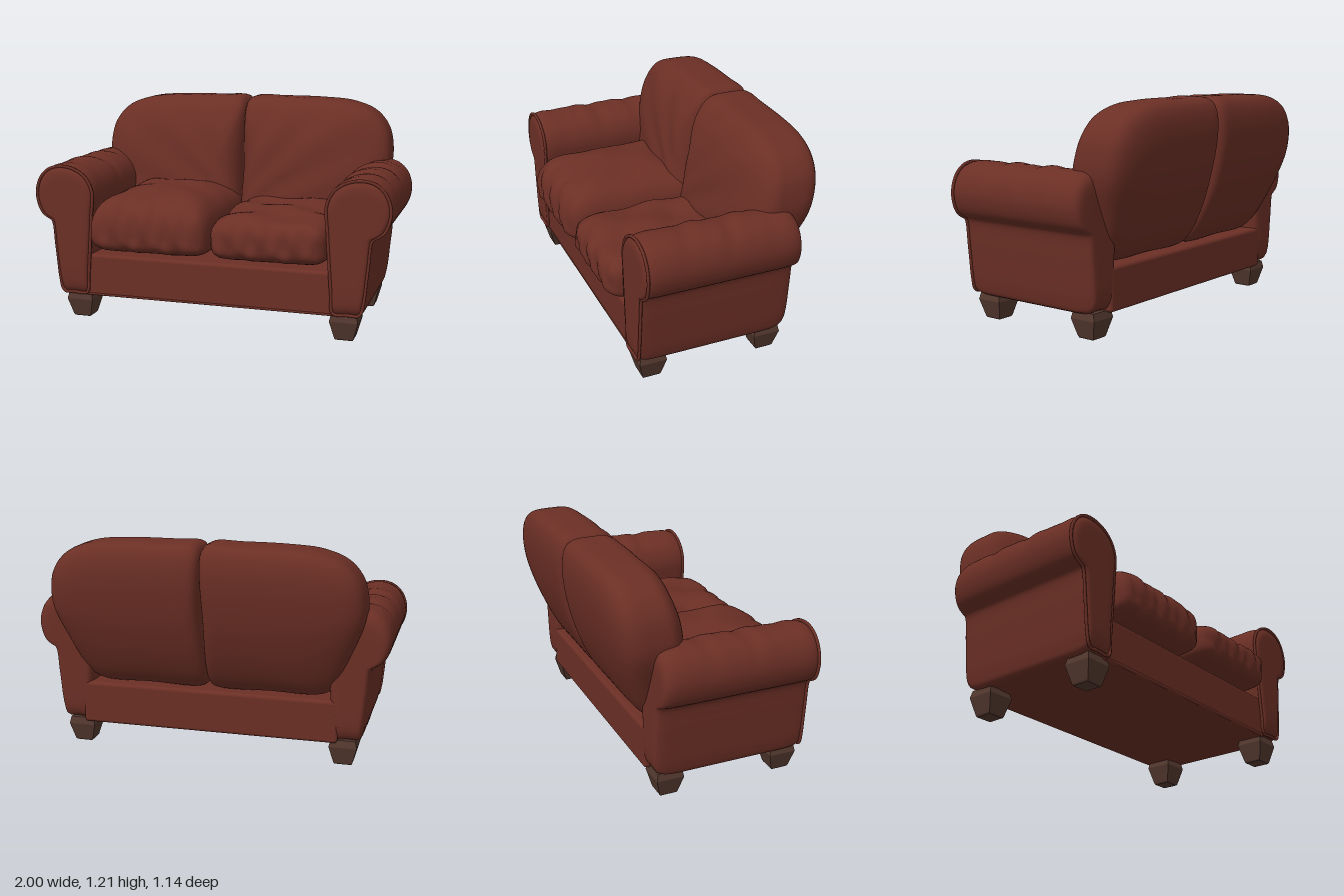
import * as THREE from 'three';
import { RoundedBoxGeometry } from 'three/addons/geometries/RoundedBoxGeometry.js';

const leather = new THREE.MeshStandardMaterial({ color: 0x6b2f25 });
leather.name = 'brown leather';
const wood = new THREE.MeshStandardMaterial({ color: 0x53382f });
wood.name = 'dark wood';

// Point on a superellipse of exponent n, in the direction of angle a
function superPoint(a, n) {
  const c = Math.cos(a), s = Math.sin(a);
  const k = Math.pow(Math.abs(c) ** n + Math.abs(s) ** n, -1 / n);
  return [c * k, s * k];
}

// Closed smooth outline through a few points
function smoothOutline(points, count) {
  const curve = new THREE.CatmullRomCurve3(points.map(([a, b]) => new THREE.Vector3(a, b, 0)), true);
  return curve.getSpacedPoints(count).slice(0, count).map((p) => [p.x, p.y]);
}

// Padded form: the outline shrinks to its centre on both faces while h runs
// from -1 to 1; place(a, b, h) turns each point into [x, y, z].
function padded(outline, centre, nBack, nFront, rows, place) {
  const pos = [], idx = [], n = outline.length;
  for (let r = 0; r <= rows; r++) {
    const a = (r / rows - 0.5) * Math.PI;
    let [s, h] = superPoint(a, a < 0 ? nBack : nFront);
    s = Math.max(s, 0.0005);
    for (const [u, v] of outline) {
      pos.push(...place(centre[0] + (u - centre[0]) * s, centre[1] + (v - centre[1]) * s, h));
    }
  }
  for (let r = 0; r < rows; r++) {
    for (let i = 0; i < n; i++) {
      const a = r * n + i, b = r * n + (i + 1) % n;
      idx.push(a, b, b + n, a, b + n, a + n);
    }
  }
  // Turn the faces outward if the enclosed volume is negative
  const P = (i) => new THREE.Vector3().fromArray(pos, i * 3);
  let volume = 0;
  for (let i = 0; i < idx.length; i += 3) volume += P(idx[i]).dot(P(idx[i + 1]).cross(P(idx[i + 2])));
  if (volume < 0) idx.reverse();
  const g = new THREE.BufferGeometry();
  g.setAttribute('position', new THREE.Float32BufferAttribute(pos, 3));
  g.setIndex(idx);
  g.computeVertexNormals();
  return g;
}

const armProfile = smoothOutline([
  [0.7, 0.142], [0.78, 0.14], [0.845, 0.142], [0.862, 0.19], [0.885, 0.4], [0.905, 0.56], [0.925, 0.572],
  [0.972, 0.61], [1.0, 0.71], [0.977, 0.8], [0.925, 0.855], [0.85, 0.876], [0.76, 0.86],
  [0.69, 0.81], [0.655, 0.73], [0.662, 0.6], [0.688, 0.25],
], 110);

const backProfile = smoothOutline([
  [0.004, 0.42], [0.03, 0.385], [0.35, 0.38], [0.63, 0.385], [0.7, 0.43], [0.8, 0.65], [0.862, 0.82],
  [0.868, 0.92], [0.842, 1.04], [0.765, 1.135], [0.63, 1.19], [0.45, 1.207], [0.2, 1.21],
  [0.03, 1.207], [0.004, 1.175], [0.003, 0.8],
], 120);

function rolledArm(side) {
  const arm = new THREE.Group();
  arm.name = side > 0 ? 'leftArm' : 'rightArm';
  const body = padded(armProfile, [0.8, 0.58], 11, 14, 72, (x, y, h) => {
    const z = 0.06 + 0.44 * h;
    // Gathered folds over the top of the roll, fading at the ends
    const fold = THREE.MathUtils.smoothstep(y, 0.62, 0.85) * Math.max(0, 1 - h * h);
    const wave = Math.sin(z * 27 + x * 5 * side) + 0.6 * Math.sin(z * 51 - x * 9);
    return [side * x, y + 0.005 * fold * wave, z];
  });
  const bodyMesh = new THREE.Mesh(body, leather);
  bodyMesh.name = 'armBody';
  // Piping around the front panel
  const path = armProfile.filter((_, i) => i % 2 === 0).map(([x, y]) =>
    new THREE.Vector3(side * (0.8 + (x - 0.8) * 0.97), 0.58 + (y - 0.58) * 0.97, 0.484));
  const piping = new THREE.Mesh(
    new THREE.TubeGeometry(new THREE.CatmullRomCurve3(path, true), 110, 0.009, 6, true), leather);
  piping.name = 'armPiping';
  arm.add(bodyMesh, piping);
  return arm;
}

function backCushion(side) {
  const g = padded(backProfile, [0.16, 0.76], 6, 2.5, 64, (x, y, h) => {
    const seam = -0.3 - 0.16 * (y - 0.88);
    const drop = Math.max(0, 1.1 - y);
    const rear = -0.575 + 0.42 * drop * drop;
    // Diagonal creases fanning out of the lower inner corner
    const angle = Math.atan2(y - 0.5, x + 0.1);
    const crease = 0.004 * Math.sin(angle * 19 + side) * THREE.MathUtils.smoothstep(h, 0.1, 0.8)
      * THREE.MathUtils.smoothstep(Math.hypot(x, y - 0.5), 0.1, 0.4);
    return [side * x, y, h < 0 ? seam - h * (rear - seam) : seam + 0.18 * h + crease];
  });
  const mesh = new THREE.Mesh(g, leather);
  mesh.name = side > 0 ? 'leftBackCushion' : 'rightBackCushion';
  return mesh;
}

function seatCushion(side) {
  const left = side > 0;
  const x0 = left ? 0.348 : -0.327, halfW = left ? 0.322 : 0.345;
  const crown = left ? 0.15 : 0.235;
  const outline = [];
  for (let i = 0; i < 112; i++) {
    const [u, v] = superPoint((i / 112) * Math.PI * 2, 9);
    outline.push([x0 + u * halfW, 0.13 + v * 0.42]);
  }
  const g = padded(outline, [x0, 0.13], 4, left ? 4 : 3, 56, (x, z, h) => {
    // Puckered front and a softly dented top
    const front = THREE.MathUtils.smoothstep(z, 0.35, 0.53);
    const top = THREE.MathUtils.smoothstep(h, 0.3, 0.9);
    const pucker = 0.006 * front * (Math.sin(x * 38 + h * 4) + 0.6 * Math.sin(x * 67 - h * 3));
    const dent = top * (left ? 0.008 : 0.003) * (Math.sin(x * 17 + z * 9) + Math.sin(z * 21 - x * 8));
    return [x, 0.5 + h * (h > 0 ? crown : 0.11) + dent, z + pucker + 0.012 * front * (1 - h * h)];
  });
  const mesh = new THREE.Mesh(g, leather);
  mesh.name = left ? 'leftSeatCushion' : 'rightSeatCushion';
  return mesh;
}

// Square tapered foot with a drawn-in top
function foot(x, z, name) {
  const points = [[0, 0], [0.046, 0], [0.051, 0.008], [0.077, 0.105], [0.068, 0.145], [0, 0.145]]
    .map(([r, y]) => new THREE.Vector2(r * Math.SQRT2, y));
  const g = new THREE.LatheGeometry(points, 4, Math.PI / 4).toNonIndexed();
  g.computeVertexNormals();
  const mesh = new THREE.Mesh(g, wood);
  mesh.position.set(x, 0, z);
  mesh.name = name;
  return mesh;
}

export function createModel() {
  const sofa = new THREE.Group();
  sofa.name = 'sofa';

  // Seat base with a welt along its lower front edge
  const base = new THREE.Mesh(new RoundedBoxGeometry(1.46, 0.24, 0.855, 4, 0.02), leather);
  base.position.set(0, 0.254, 0.048);
  base.name = 'seatBase';
  const welt = new THREE.Mesh(new THREE.CylinderGeometry(0.008, 0.008, 1.4, 8), leather);
  welt.rotation.z = Math.PI / 2;
  welt.position.set(0, 0.145, 0.47);
  welt.name = 'frontWelt';
  sofa.add(base, welt);

  for (const side of [-1, 1]) {
    const label = side > 0 ? 'left' : 'right';
    sofa.add(rolledArm(side), backCushion(side), seatCushion(side));
    sofa.add(foot(side * 0.757, 0.393, label + 'FrontFoot'), foot(side * 0.757, -0.275, label + 'BackFoot'));
  }
  return sofa;
}
